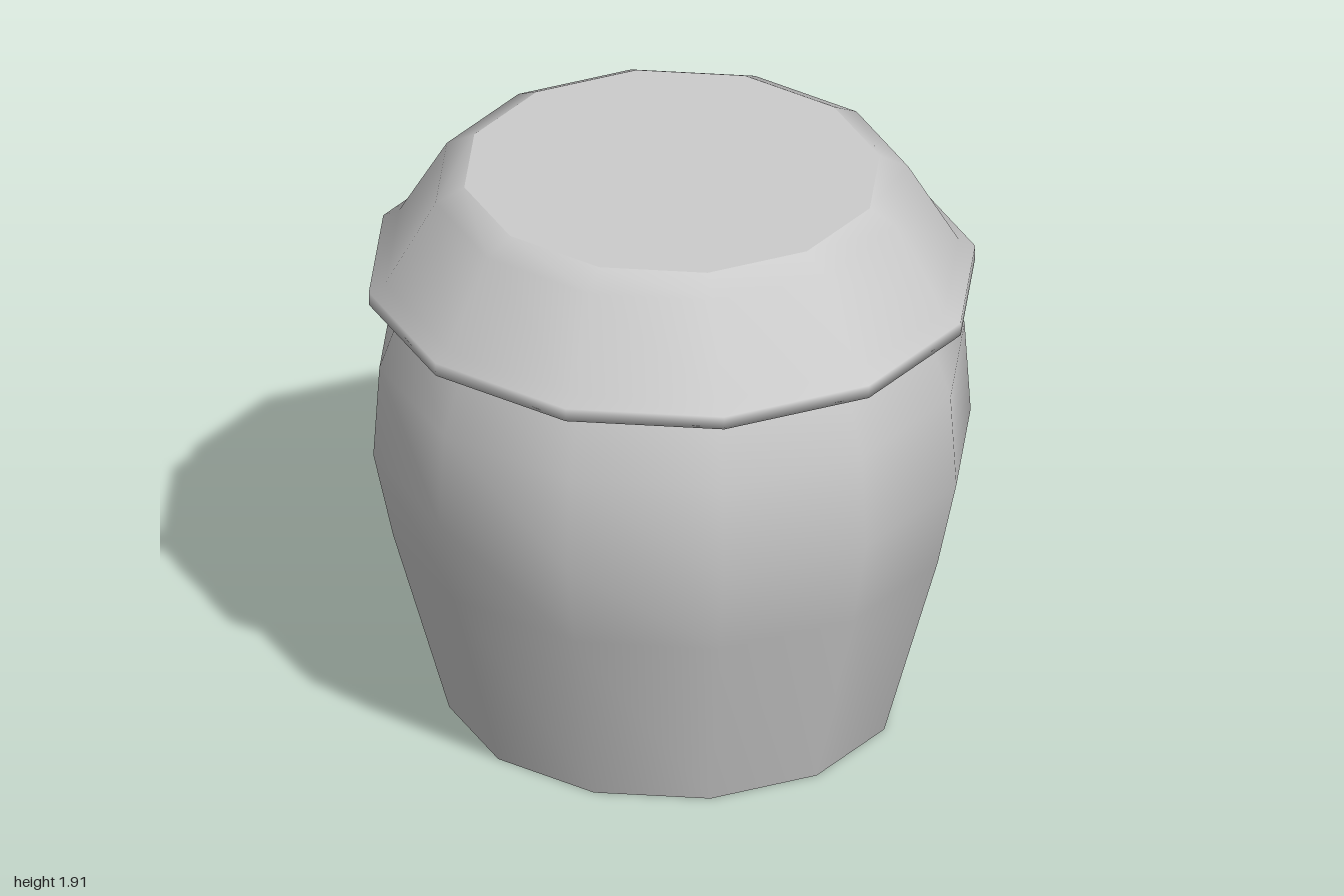
import * as THREE from 'three';

const SIDES = 12;

// Twelve-sided smooth turned part from [radius, height] pairs, bottom to top
function turned(name, profile) {
  const points = profile.map(([r, y]) => new THREE.Vector2(r, y));
  const material = new THREE.MeshStandardMaterial({ color: 0xcccccc, side: THREE.DoubleSide });
  const mesh = new THREE.Mesh(new THREE.LatheGeometry(points, SIDES), material);
  mesh.name = name;
  mesh.scale.x = 0.985; // slightly narrower across than deep
  return mesh;
}

export function createModel() {
  const group = new THREE.Group();
  group.name = 'liddedJar';

  // Bulging body, open underneath, its neck tucked inside the lid
  group.add(turned('body', [
    [0.735, 0], [0.92, 0.65], [0.985, 0.95], [0.965, 1.27], [0.88, 1.505], [0.84, 1.58],
  ]));

  // Lid: underside, lip, sloping wall and bevelled edge
  group.add(turned('lid', [
    [0.86, 1.505], [1, 1.505], [1, 1.55], [0.945, 1.58], [0.78, 1.86], [0.685, 1.91],
  ]));

  // Flat top of the lid
  group.add(turned('lidTop', [[0.685, 1.91], [0, 1.91]]));

  return group;
}
